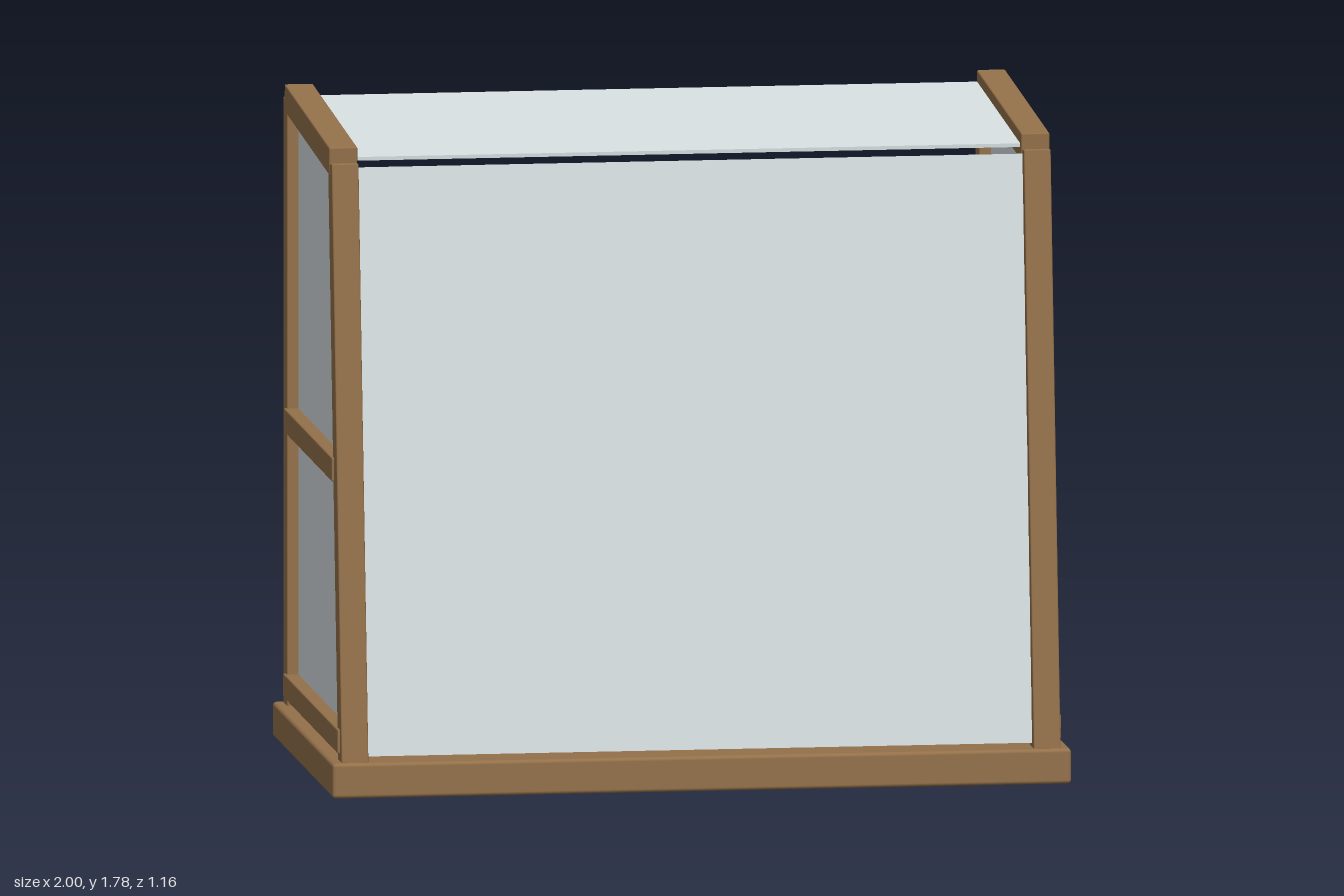
import * as THREE from 'three';
import { RoundedBoxGeometry } from 'three/addons/geometries/RoundedBoxGeometry.js';

const wood = new THREE.MeshStandardMaterial({ color: 0x94714a });
const shelfBoard = new THREE.MeshStandardMaterial({ color: 0xb5a486 });
const glass = new THREE.MeshStandardMaterial({ color: 0xd8e0e2, side: THREE.DoubleSide });

export function createModel() {
  const group = new THREE.Group();

  function add(name, geometry, material, x, y, z, tilt = 0) {
    const mesh = new THREE.Mesh(geometry, material);
    mesh.name = name;
    mesh.position.set(x, y, z);
    mesh.rotation.x = tilt;
    group.add(mesh);
    return mesh;
  }
  const bar = (w, h, d) => new RoundedBoxGeometry(w, h, d, 1, 0.004);

  // Plinth
  add('base', new RoundedBoxGeometry(2, 0.095, 1.16, 2, 0.01), wood, 0, 0.0475, 0);

  // Slopes of the leaning front and the roof
  const frontTilt = -Math.atan2(0.19, 1.59);
  const roofTilt = Math.atan2(0.047, 0.855);

  // Timber frame and glazing of each side
  for (const [side, s] of [['left', 1], ['right', -1]]) {
    add(side + 'BackPost', bar(0.073, 1.65, 0.073), wood, s * 0.937, 0.912, -0.525);
    add(side + 'FrontPost', bar(0.073, 1.61, 0.073), wood, s * 0.937, 0.887, 0.43, frontTilt);
    add(side + 'TopRail', bar(0.077, 0.075, 0.857), wood, s * 0.937, 1.715, -0.095, roofTilt);
    add(side + 'MiddleRail', bar(0.08, 0.065, 0.92), wood, s * 0.94, 0.868, -0.045);
    add(side + 'BottomRail', bar(0.08, 0.065, 1.045), wood, s * 0.94, 0.147, 0.003);

    // Side pane, a quadrilateral following the leaning front (shape x = -z)
    const pane = new THREE.Shape([
      new THREE.Vector2(-0.515, 0.14), new THREE.Vector2(0.52, 0.14),
      new THREE.Vector2(0.52, 1.72), new THREE.Vector2(-0.325, 1.68),
    ]);
    const paneGeometry = new THREE.ExtrudeGeometry(pane, { depth: 0.01, bevelEnabled: false });
    paneGeometry.translate(0, 0, -0.005).rotateY(Math.PI / 2);
    add(side + 'Pane', paneGeometry, glass, s * 0.937, 0, 0);
  }

  // Front and roof panes
  add('frontPane', new THREE.BoxGeometry(1.82, 1.58, 0.01), glass, 0, 0.89, 0.431, frontTilt);
  add('roofPane', new THREE.BoxGeometry(1.82, 0.01, 0.83), glass, 0, 1.717, -0.1, roofTilt);

  // Shelves, open at the back
  add('middleShelf', new THREE.BoxGeometry(1.81, 0.025, 0.94), shelfBoard, 0, 0.87, -0.07);
  add('bottomShelf', new THREE.BoxGeometry(1.81, 0.025, 1.03), shelfBoard, 0, 0.153, -0.025);

  return group;
}
